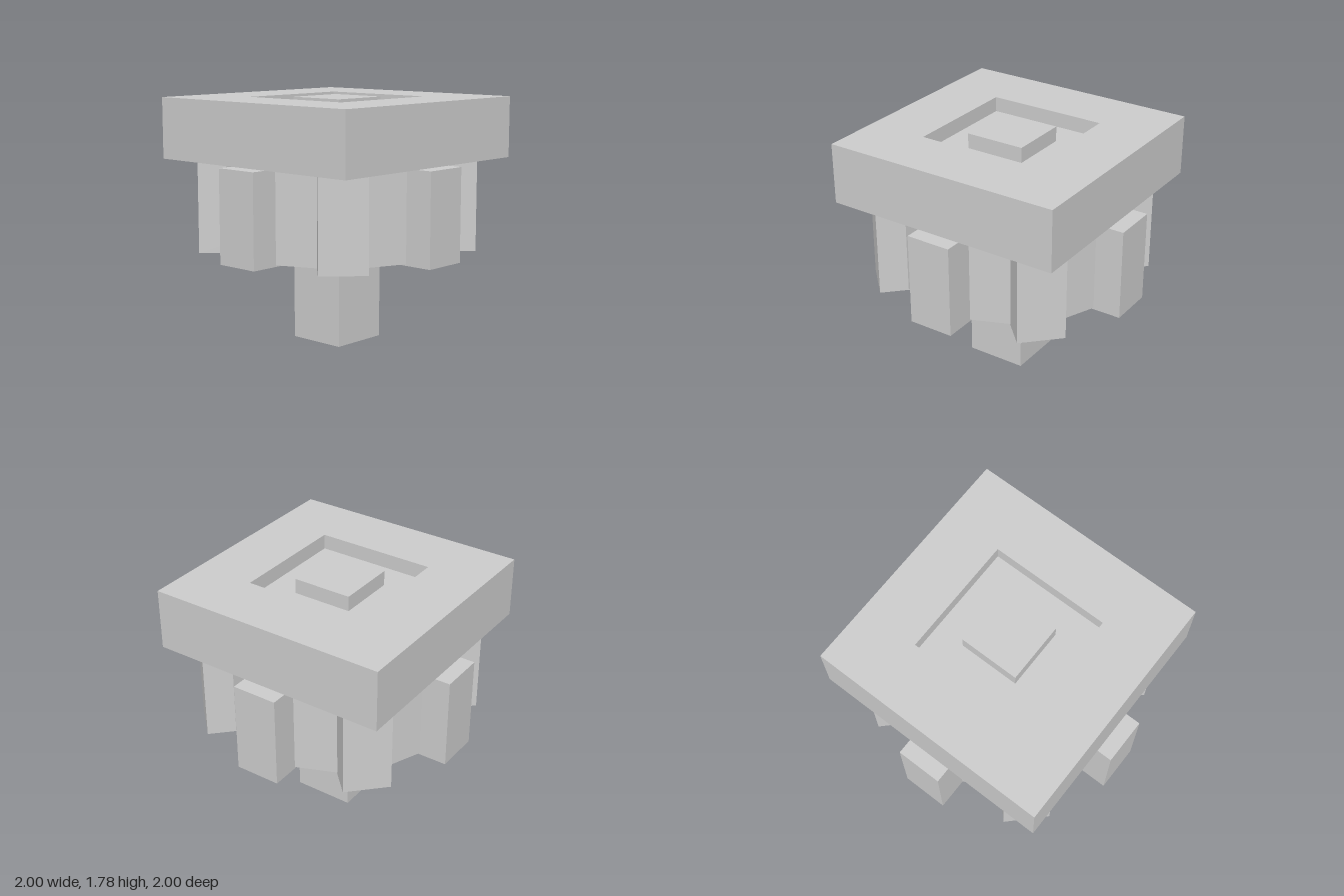
import * as THREE from 'three';

const U = 1 / 9; // one modelling unit

export function createModel() {
  const group = new THREE.Group();
  const grey = new THREE.MeshStandardMaterial({ color: 0xcccccc });
  grey.name = 'light grey';

  const add = (name, geometry) => {
    const mesh = new THREE.Mesh(geometry, grey);
    mesh.name = name;
    group.add(mesh);
    return mesh;
  };
  // Box centred on the vertical axis between two heights, turned about y
  const box = (name, w, d, y0, y1, degrees = 0) => {
    const mesh = add(name, new THREE.BoxGeometry(w * U, (y1 - y0) * U, d * U));
    mesh.position.y = ((y0 + y1) / 2) * U;
    mesh.rotation.y = THREE.MathUtils.degToRad(degrees);
  };

  // Square axle running through the whole model
  box('axle', 4, 4, 0, 16);

  // Eight gear teeth from four crossed bars
  for (let i = 0; i < 4; i++) box('toothBar', 3, 18, 6, 12, i * 45);

  // Eight-sided gear body from four crossed slabs, slightly thinner than the teeth
  for (let i = 0; i < 4; i++) {
    box('gearBody', 5.94, i === 2 ? 14 : 14.35, 6.1, 11.9, 22.5 + i * 45);
  }

  // Square cap with a shallow recess around the axle end
  const square = (path, h) => {
    path.moveTo(-h, -h).lineTo(h, -h).lineTo(h, h).lineTo(-h, h).closePath();
    return path;
  };
  const frame = square(new THREE.Shape(), 8 * U);
  frame.holes.push(square(new THREE.Path(), 4 * U));
  const capGeometry = new THREE.ExtrudeGeometry(frame, { depth: 4 * U, bevelEnabled: false });
  capGeometry.rotateX(-Math.PI / 2);
  add('capFrame', capGeometry).position.y = 12 * U;
  box('recessFloor', 8, 8, 12, 15);

  return group;
}
